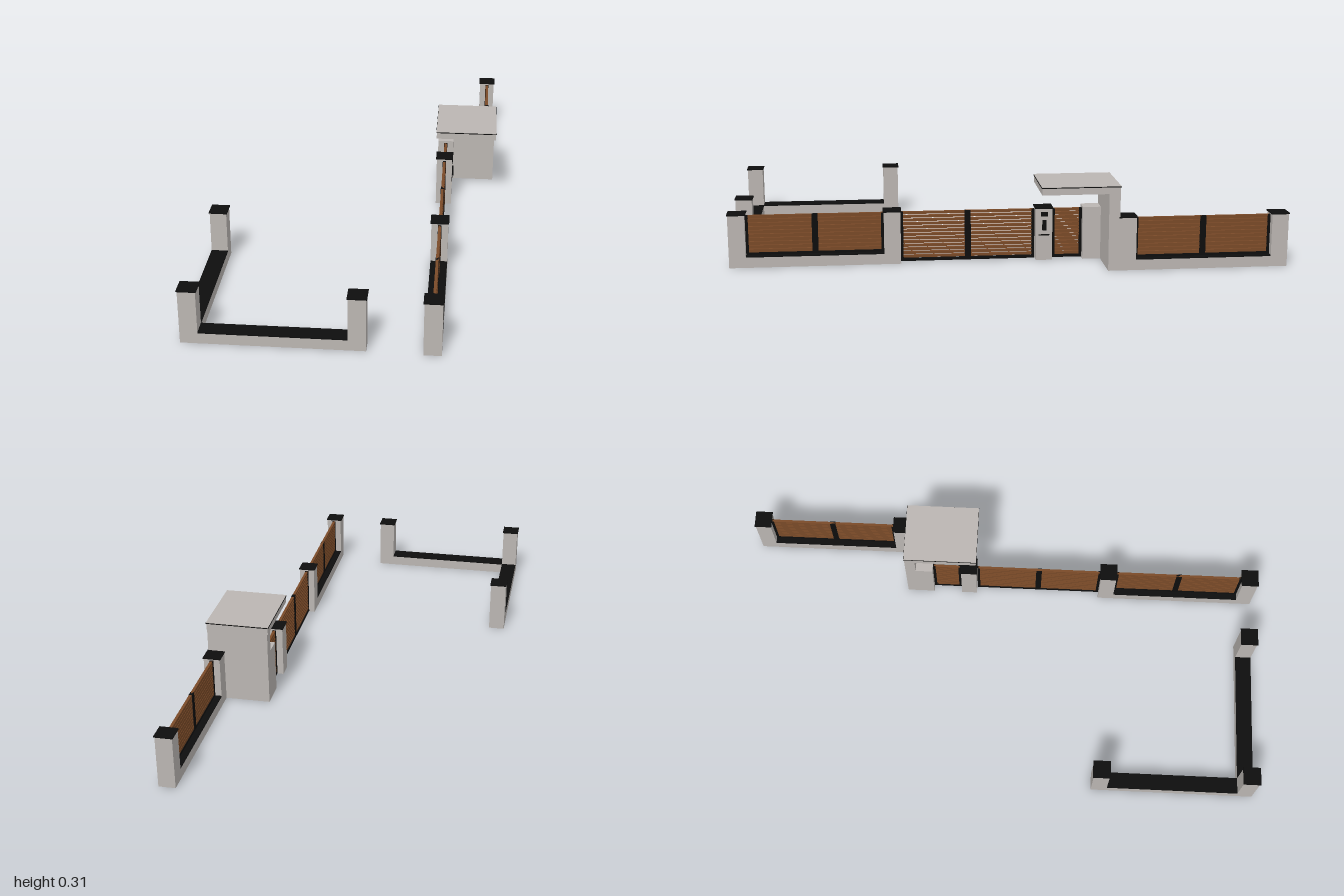
import * as THREE from 'three';

const concrete = new THREE.MeshStandardMaterial({ color: 0xbbb6b2 });
concrete.name = 'concrete';
const wood = new THREE.MeshStandardMaterial({ color: 0x7a4a28 });
wood.name = 'brown wood';
const black = new THREE.MeshStandardMaterial({ color: 0x0d0d0d });
black.name = 'black metal';

const W = 0.06; // wall and pillar thickness
const H = 0.192; // pillar height
const BASE = 0.038; // low wall height

// Box given by its minimum and maximum corners
function box(parent, name, mat, x0, x1, y0, y1, z0, z1) {
  const m = new THREE.Mesh(new THREE.BoxGeometry(x1 - x0, y1 - y0, z1 - z0), mat);
  m.position.set((x0 + x1) / 2, (y0 + y1) / 2, (z0 + z1) / 2);
  m.name = name;
  parent.add(m);
  return m;
}

// Square pillar with a thin, slightly overhanging black cap
function pillar(parent, x, z) {
  const g = new THREE.Group();
  g.name = 'pillar';
  const r = W / 2, c = r + 0.003;
  box(g, 'pillarShaft', concrete, x - r, x + r, 0, H, z - r, z + r);
  box(g, 'pillarCap', black, x - c, x + c, H, H + 0.004, z - c, z + c);
  parent.add(g);
}

// Low wall with a black coping
function lowWall(parent, x0, x1, z0, z1) {
  box(parent, 'lowWall', concrete, x0, x1, 0, BASE, z0, z1);
  box(parent, 'wallCoping', black, x0, x1, BASE, BASE + 0.004, z0, z1);
}

// Panel of horizontal slats in a black frame, running along z
function slatPanel(parent, name, x, y0, y1, z0, z1, gap, middlePost) {
  const g = new THREE.Group();
  g.name = name;
  const t = 0.005, p = 0.0065, count = Math.round((y1 - y0 - 0.008) / 0.0135);
  const pitch = (y1 - y0 - 0.008) / count;
  for (let i = 0; i < count; i++) {
    const y = y0 + 0.008 + i * pitch;
    box(g, 'slat', wood, x - t, x + t, y + gap, y + pitch, z0 + 0.004, z1 - 0.004);
  }
  box(g, 'bottomRail', black, x - p, x + p, y0, y0 + 0.009, z0, z1);
  box(g, 'endPost', black, x - p, x + p, y0, y1, z0, z0 + 0.01);
  box(g, 'endPost', black, x - p, x + p, y0, y1, z1 - 0.01, z1);
  const m = (z0 + z1) / 2;
  if (middlePost) box(g, 'middlePost', black, x - p, x + p, y0, y1, m - 0.011, m + 0.011);
  parent.add(g);
}

// Fence section: two pillars, low wall and slatted panel between them
function fence(parent, name, x, zA, zB) {
  const g = new THREE.Group();
  g.name = name;
  const r = W / 2;
  pillar(g, x, zA + r);
  pillar(g, x, zB - r);
  lowWall(g, x - r, x + r, zA + W, zB - W);
  slatPanel(g, 'fencePanel', x, BASE + 0.002, 0.187, zA + W, zB - W, 0.0022, true);
  parent.add(g);
}

export function createModel() {
  const model = new THREE.Group();
  model.name = 'fenceAndGate';

  // Two slatted fence sections
  fence(model, 'frontFence', 0.315, 0.383, 0.997);
  fence(model, 'rearFence', 0.48, -0.997, -0.386);

  // L-shaped low wall on the far side
  const corner = new THREE.Group();
  corner.name = 'cornerWall';
  pillar(corner, -0.484, 0.402);
  pillar(corner, -0.484, 0.96);
  pillar(corner, 0.069, 0.96);
  lowWall(corner, -0.514, -0.454, 0.432, 0.93);
  lowWall(corner, -0.454, 0.039, 0.93, 0.99);
  model.add(corner);

  // Driveway gate and pedestrian door
  slatPanel(model, 'drivewayGate', 0.315, 0.003, 0.187, -0.105, 0.383, 0.0045, true);
  slatPanel(model, 'entryDoor', 0.315, 0.003, 0.187, -0.28, -0.17, 0.003, false);

  // Pillar with entry panel, mail slot and blank plate on its outer face
  const entry = new THREE.Group();
  entry.name = 'entryPillar';
  pillar(entry, 0.315, -0.138);
  box(entry, 'intercom', black, 0.345, 0.351, 0.113, 0.15, -0.146, -0.131);
  box(entry, 'mailSlot', black, 0.345, 0.347, 0.093, 0.097, -0.158, -0.118);
  box(entry, 'blankPlate', black, 0.345, 0.347, 0.164, 0.18, -0.152, -0.126);
  model.add(entry);

  // Canopy on a tall wall, with the door's side pillar below
  const porch = new THREE.Group();
  porch.name = 'porch';
  box(porch, 'doorPillar', concrete, 0.285, 0.345, 0, H + 0.003, -0.346, -0.28);
  box(porch, 'canopyWall', concrete, 0.285, 0.51, 0, 0.281, -0.386, -0.346);
  box(porch, 'canopyRoof', concrete, 0.282, 0.512, 0.28, 0.306, -0.386, -0.108);
  box(porch, 'roofEdge', black, 0.28, 0.514, 0.304, 0.307, -0.388, -0.106);
  box(porch, 'roofTop', concrete, 0.281, 0.513, 0.306, 0.309, -0.387, -0.107);
  model.add(porch);

  return model;
}
